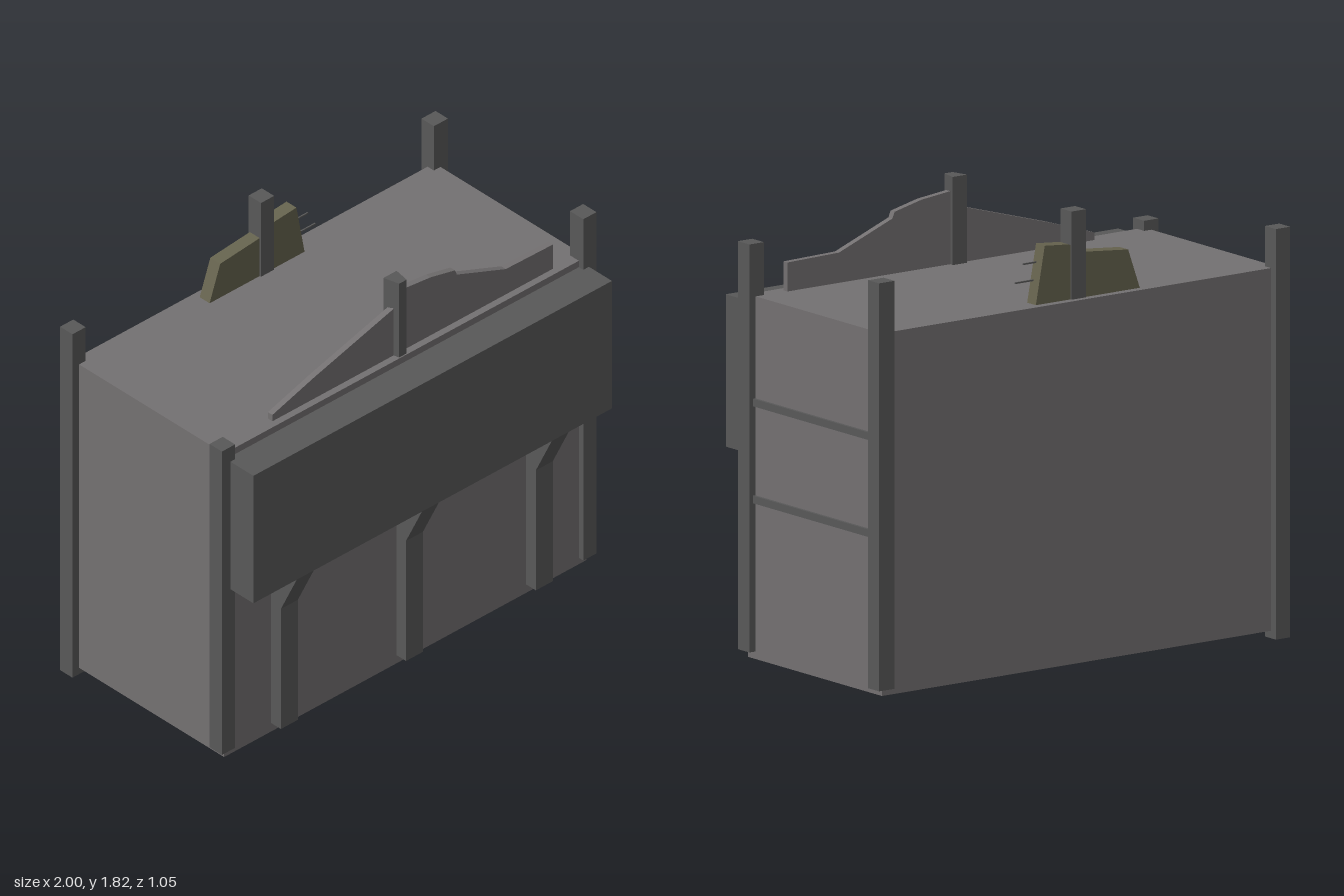
import * as THREE from 'three';

const paint = (color) => new THREE.MeshStandardMaterial({ color, flatShading: true });
const plaster = paint(0x747172);
const timber = paint(0x595959);
const olive = paint(0x67644f);

export function createModel() {
  const model = new THREE.Group();

  const add = (name, geometry, material) => {
    const mesh = new THREE.Mesh(geometry, material);
    mesh.name = name;
    model.add(mesh);
    return mesh;
  };

  // Box given by its limits on each axis
  const box = (name, material, x0, x1, y0, y1, z0, z1) => {
    const mesh = add(name, new THREE.BoxGeometry(x1 - x0, y1 - y0, z1 - z0), material);
    mesh.position.set((x0 + x1) / 2, (y0 + y1) / 2, (z0 + z1) / 2);
  };

  // Flat outline pushed out to a given depth
  const plate = (points, depth) => new THREE.ExtrudeGeometry(
    new THREE.Shape(points.map(([x, y]) => new THREE.Vector2(x, y))),
    { depth, bevelEnabled: false });

  // Main block and the overhanging front storey
  box('body', plaster, -0.965, 0.96, 0.03, 1.47, -0.49, 0.37);
  box('frontOverhang', timber, -0.955, 0.95, 0.835, 1.44, 0.36, 0.525);

  // Corner posts of uneven height
  box('frontLeftPost', timber, 0.92, 0.99, 0.06, 1.68, 0.32, 0.395);
  box('backLeftPost', timber, 0.925, 1, 0.06, 1.68, -0.525, -0.455);
  box('frontRightPost', timber, -1, -0.93, 0.07, 1.51, 0.325, 0.395);
  box('backRightPost', timber, -1, -0.93, 0, 1.63, -0.52, -0.45);

  // Roof posts; the front one narrows towards the front, its outline is (x, -z)
  const frontRoofPost = add('frontRoofPost', plate(
    [[-0.03, -0.365], [0.01, -0.365], [0.022, -0.295], [-0.048, -0.295]], 0.38), timber);
  frontRoofPost.rotation.x = -Math.PI / 2;
  frontRoofPost.position.y = 1.44;
  box('backRoofPost', timber, -0.05, 0.02, 1.44, 1.82, -0.465, -0.395);

  // Rails on the left side
  for (const y of [0.665, 1.05]) {
    box('sideRail', timber, 0.95, 0.972, y - 0.015, y + 0.015, -0.46, 0.33);
  }

  // Brackets that lean out under the overhang; outline is (z, y)
  const bracketOutline = [[0.36, 0.07], [0.425, 0.07], [0.425, 0.64], [0.522, 0.84], [0.36, 0.84]];
  for (const x of [-0.67, -0.005, 0.685]) {
    const bracket = add('bracket', plate(bracketOutline, 0.09), timber);
    bracket.rotation.y = -Math.PI / 2;
    bracket.position.x = x + 0.045;
  }

  // Broken gable boards on the roof
  add('frontGable', plate([
    [-0.68, 1.46], [0.81, 1.46], [0.81, 1.585], [0.56, 1.59], [0.3, 1.69], [0.29, 1.715],
    [0.16, 1.745], [0.02, 1.76], [-0.04, 1.69], [-0.46, 1.57], [-0.68, 1.5],
  ], 0.026), plaster).position.z = 0.314;
  add('backGable', plate([
    [-0.32, 1.46], [0.19, 1.46], [0.145, 1.7], [0.03, 1.69], [-0.05, 1.65], [-0.26, 1.63],
  ], 0.056), olive).position.z = -0.458;

  // Nails sticking out of the back gable
  for (const [y, end] of [[1.56, 0.26], [1.63, 0.22]]) {
    box('nail', timber, 0.13, end, y - 0.003, y + 0.003, -0.421, -0.415);
  }

  return model;
}
